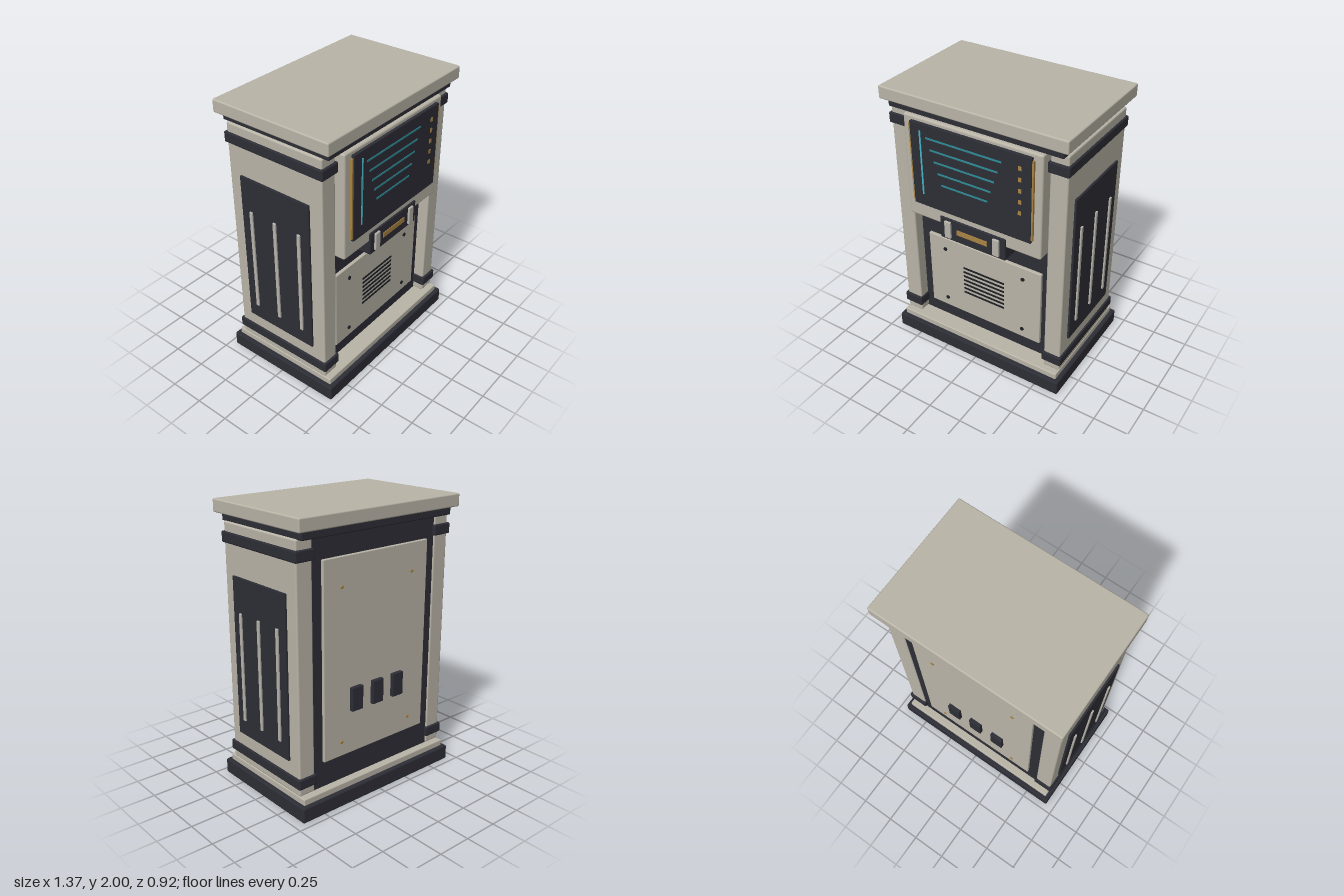
import * as THREE from 'three';
import { RoundedBoxGeometry } from 'three/addons/geometries/RoundedBoxGeometry.js';

const mat = (name, color) => {
  const m = new THREE.MeshStandardMaterial({ color });
  m.name = name;
  return m;
};

export function createModel() {
  const group = new THREE.Group();
  const beige = mat('warm beige', 0xbab5a8);
  const dark = mat('dark slate', 0x2d2d36);
  const black = mat('vent black', 0x1d1f25);
  const gold = mat('amber', 0xa88444);
  const cyan = mat('bright cyan', 0x45b8c8);
  const teal = mat('teal', 0x2f8a95);
  const silver = mat('pale trim', 0xb8b4ac);

  const add = (name, geometry, material) => {
    const mesh = new THREE.Mesh(geometry, material);
    mesh.name = name;
    group.add(mesh);
    return mesh;
  };
  // Box given by its limits; r > 0 softens the edges
  const box = (name, material, [x0, x1], [y0, y1], [z0, z1], r = 0) => {
    const w = x1 - x0, h = y1 - y0, d = z1 - z0;
    const geo = r ? new RoundedBoxGeometry(w, h, d, 2, r) : new THREE.BoxGeometry(w, h, d);
    add(name, geo, material).position.set((x0 + x1) / 2, (y0 + y1) / 2, (z0 + z1) / 2);
  };
  const screw = (name, material, x, y, z, r) => {
    const geo = new THREE.CylinderGeometry(r, r, 0.016, 12).rotateX(Math.PI / 2);
    add(name, geo, material).position.set(x, y, z);
  };

  // Base, core and cap
  box('base', dark, [-0.685, 0.685], [0, 0.11], [-0.455, 0.455], 0.012);
  box('plinth', beige, [-0.655, 0.655], [0.105, 0.155], [-0.425, 0.425], 0.008);
  box('core', dark, [-0.535, 0.535], [0.15, 1.86], [-0.37, 0.3]);
  box('neck', dark, [-0.64, 0.64], [1.855, 1.915], [-0.42, 0.42], 0.008);
  box('topSlab', beige, [-0.685, 0.685], [1.91, 2], [-0.455, 0.455], 0.01);

  // Side walls with bands, inset panels and ribs
  for (const s of [-1, 1]) {
    const span = (a, b) => (s > 0 ? [a, b] : [-b, -a]);
    box('sideWall', beige, span(0.53, 0.655), [0.155, 1.86], [-0.38, 0.38], 0.012);
    for (const y of [0.21, 1.72])
      box('band', dark, span(0.52, 0.668), [y, y + 0.075], [-0.395, 0.395], 0.01);
    box('sidePanel', dark, span(0.64, 0.669), [0.385, 1.515], [-0.283, 0.283], 0.004);
    for (const z of [-0.2, 0, 0.2])
      box('sideRib', silver, span(0.66, 0.68), [0.5, 1.275], [z - 0.0125, z + 0.0125], 0.004);
  }

  // Display housing
  box('displayFrame', beige, [-0.515, 0.515], [1.09, 1.848], [0.28, 0.434], 0.015);
  box('screen', dark, [-0.45, 0.45], [1.21, 1.82], [0.42, 0.455], 0.004);
  for (const s of [-1, 1])
    box('screenTrim', gold, s > 0 ? [0.44, 0.462] : [-0.462, -0.44], [1.23, 1.8], [0.42, 0.45]);
  box('screenBar', cyan, [-0.376, -0.364], [1.3, 1.77], [0.452, 0.459]);
  for (let i = 0; i < 5; i++) {
    const y = 1.73 - i * 0.079, half = 0.2825 - i * 0.0265;
    box('screenLine', teal, [-0.0425 - half, -0.0425 + half], [y - 0.006, y + 0.006], [0.452, 0.459]);
    box('indicator', gold, [0.36, 0.382], [y - 0.014, y + 0.014], [0.452, 0.459]);
  }

  // Slot unit under the display
  box('slotBlock', dark, [-0.258, 0.258], [0.99, 1.158], [0.28, 0.445], 0.008);
  box('slot', gold, [-0.12, 0.12], [1.055, 1.093], [0.442, 0.45]);
  for (const x of [-0.19, 0.19])
    box('slotGuard', silver, [x - 0.025, x + 0.025], [1.01, 1.14], [0.44, 0.46], 0.005);

  // Lower front panel with vent slats
  box('frontPanel', beige, [-0.46, 0.46], [0.265, 0.875], [0.28, 0.322], 0.006);
  for (let i = 0; i < 7; i++) {
    const y = 0.46 + i * 0.036;
    box('ventSlat', black, [-0.168, 0.168], [y - 0.007, y + 0.007], [0.318, 0.326]);
  }

  // Rear service panel with sockets
  box('rearPanel', beige, [-0.455, 0.455], [0.34, 1.71], [-0.39, -0.36], 0.006);
  for (const x of [-0.185, 0, 0.185])
    box('rearSocket', dark, [x - 0.048, x + 0.048], [0.65, 0.82], [-0.417, -0.38], 0.006);

  // Panel screws
  for (const x of [-1, 1]) {
    for (const y of [0.34, 0.782]) screw('frontScrew', black, x * 0.32, y, 0.321, 0.014);
    for (const y of [0.445, 1.515]) screw('rearScrew', gold, x * 0.308, y, -0.39, 0.011);
  }
  return group;
}
